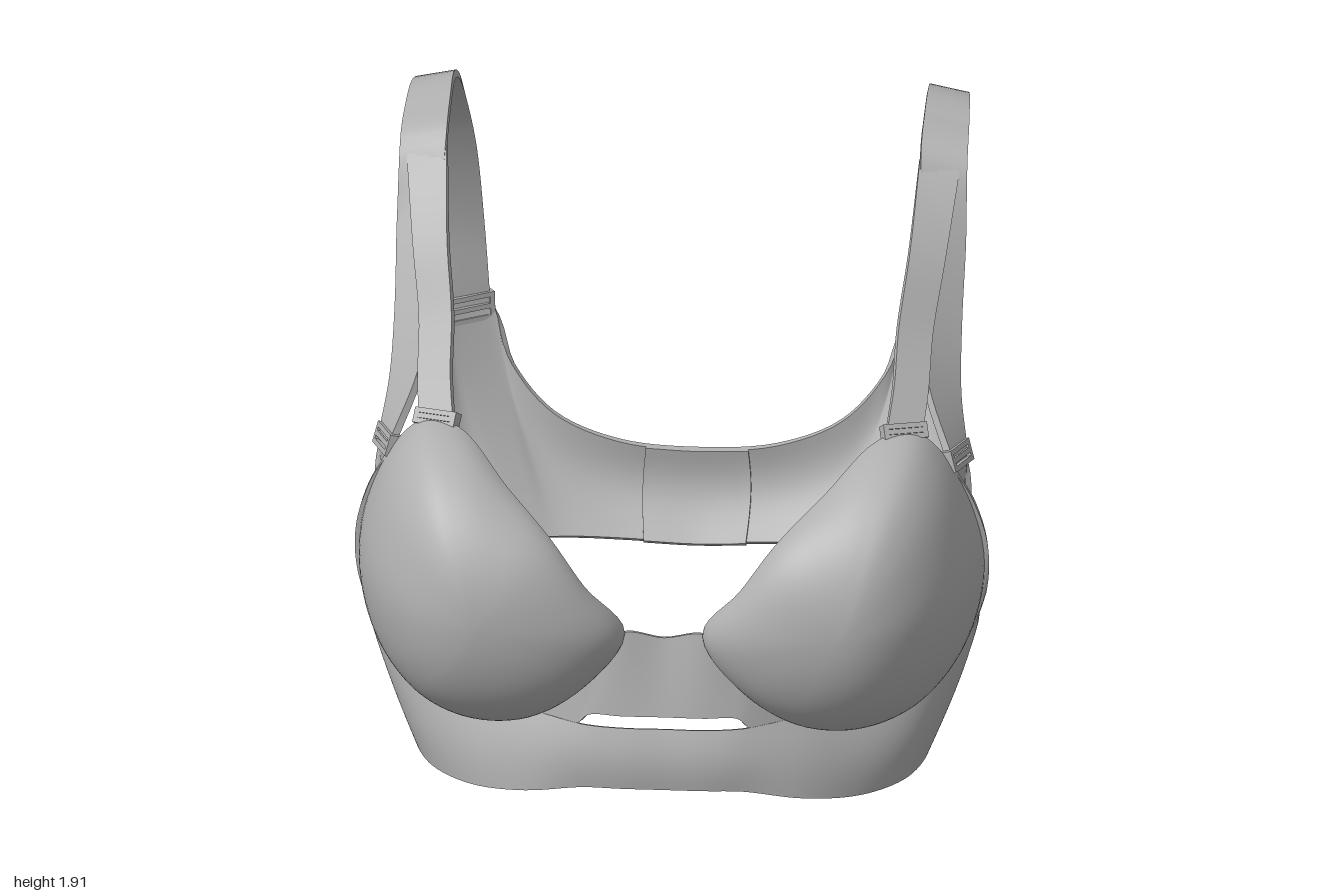
import * as THREE from 'three';

const fabric = new THREE.MeshStandardMaterial({ color: 0xb0b0b0 });
fabric.name = 'grey fabric';

const V = (p) => new THREE.Vector3(...p);
const flip = (pts, s) => pts.map(([x, y, z]) => [x * s, y, z]);
const curve = (pts, closed = false) => new THREE.CatmullRomCurve3(pts.map(V), closed);
// Half outline from the middle of the front, completed by its mirror image
const mirrorOpen = (h) => [...flip(h.slice(1).reverse(), -1), ...h];
const mirrorLoop = (h) => [...h, ...flip(h.slice(1, -1).reverse(), -1)];

// Cloth of even thickness around the surface fn(u, v), with its edges closed
function sheet(name, fn, nu, nv, thick, closed = false) {
  const cols = closed ? nu : nu + 1;
  const id = (i, j) => (i % cols) * (nv + 1) + j;
  const mid = [], tris = [];
  for (let i = 0; i < cols; i++)
    for (let j = 0; j <= nv; j++) mid.push(...fn(i / nu, j / nv).toArray());
  for (let i = 0; i < nu; i++)
    for (let j = 0; j < nv; j++) {
      const a = id(i, j), b = id(i + 1, j), c = id(i + 1, j + 1), d = id(i, j + 1);
      tris.push(a, b, c, a, c, d);
    }
  const base = new THREE.BufferGeometry();
  base.setAttribute('position', new THREE.Float32BufferAttribute(mid, 3));
  base.setIndex(tris);
  base.computeVertexNormals();
  const n = base.attributes.normal.array;
  const pos = [], count = mid.length / 3;
  for (const s of [0.5, -0.5]) mid.forEach((m, k) => pos.push(m + n[k] * thick * s));
  const index = [...tris];
  for (let k = 0; k < tris.length; k += 3)
    index.push(tris[k] + count, tris[k + 2] + count, tris[k + 1] + count);
  // Edge strips have their own corners so that they stay crisp
  const edge = (p, q) => {
    const s = pos.length / 3;
    for (const k of [p, q, q + count, p + count]) pos.push(...pos.slice(k * 3, k * 3 + 3));
    index.push(s, s + 2, s + 1, s, s + 3, s + 2);
  };
  for (let i = 0; i < nu; i++) {
    edge(id(i, 0), id(i + 1, 0));
    edge(id(i + 1, nv), id(i, nv));
  }
  if (!closed) for (let j = 0; j < nv; j++) {
    edge(id(0, j + 1), id(0, j));
    edge(id(nu, j), id(nu, j + 1));
  }
  const geo = new THREE.BufferGeometry();
  geo.setAttribute('position', new THREE.Float32BufferAttribute(pos, 3));
  geo.setIndex(index);
  geo.computeVertexNormals();
  const mesh = new THREE.Mesh(geo, fabric);
  mesh.name = name;
  return mesh;
}

// Cloth stretched between two edge curves, bulging away from the body
function between(name, low, high, nu, nv, thick, bulge = () => 0, closed = false) {
  const a = curve(low, closed), b = curve(high, closed);
  return sheet(name, (u, v) => {
    const p = a.getPoint(u).lerp(b.getPoint(u), v);
    const out = new THREE.Vector3(p.x, 0, p.z).normalize();
    return p.addScaledVector(out, bulge(p) * Math.sin(Math.PI * v));
  }, nu, nv, thick, closed);
}

// Rectangular ring with a middle bar, laid across a strap from a to b
function buckle(name, a, b, along, height) {
  const across = V(b).sub(V(a)), w = across.length() / 2 + 0.012, h = height / 2;
  const rect = (path, x, y0, y1) => path.moveTo(-x, y0).lineTo(x, y0).lineTo(x, y1).lineTo(-x, y1).closePath();
  const shape = rect(new THREE.Shape(), w, -h, h);
  const t = 0.016, bar = 0.008;
  for (const [y0, y1] of [[-h + t, -bar], [bar, h - t]])
    shape.holes.push(rect(new THREE.Path(), w - t, y0, y1));
  const geo = new THREE.ExtrudeGeometry(shape, { depth: 0.04, bevelEnabled: false });
  geo.translate(0, 0, -0.02);
  const x = across.normalize();
  const z = x.clone().cross(V(along)).normalize();
  const y = z.clone().cross(x);
  const mesh = new THREE.Mesh(geo, fabric);
  mesh.applyMatrix4(new THREE.Matrix4().makeBasis(x, y, z));
  mesh.position.copy(V(a).add(V(b)).multiplyScalar(0.5));
  mesh.name = name;
  return mesh;
}

// Band: lower edge and upper edge, from centre front round the side to centre back
const bandLow = [
  [0, .07, .8], [.13, .07, .8], [.25, .065, .785], [.43, .03, .75], [.6, 0, .65], [.73, 0, .52],
  [.785, .02, .41], [.8, .045, .33], [.805, .06, .29], [.81, .075, .26], [.815, .085, .23],
  [.815, .095, .21], [.815, .11, .17], [.81, .13, .11], [.8, .15, .05], [.79, .17, 0],
  [.78, .22, -.2], [.73, .235, -.41], [.68, .24, -.49], [.62, .245, -.55], [.57, .25, -.585],
  [.52, .25, -.615], [.48, .25, -.635], [.42, .245, -.655], [.34, .24, -.67], [.2, .23, -.685], [0, .22, -.69]];
const bandHigh = [
  [0, .262, .775], [.13, .262, .775], [.25, .265, .76], [.42, .275, .69], [.6, .24, .6], [.76, .275, .5],
  [.88, .37, .385], [.955, .5, .34], [.988, .72, .36], [.945, .9, .385], [.88, 1.03, .4],
  [.91, 1.02, .31], [.925, .86, .31], [.915, .72, .26], [.895, .62, .15], [.88, .58, 0],
  [.88, .56, -.2], [.855, .55, -.42], [.83, .59, -.56], [.81, .68, -.68], [.79, .8, -.785],
  [.78, .93, -.85], [.66, .93, -.915], [.58, .74, -.86], [.45, .6, -.815], [.25, .52, -.795], [0, .5, -.79]];
const bandBulge = (p) => 0.015 + 0.03 * THREE.MathUtils.smoothstep(-p.z, 0.2, 0.7);

// Centre panel between the cups; the slit lies between it and the band
const goreLow = [[0, .303, .772], [.13, .303, .772], [.23, .3, .76], [.27, .265, .752], [.42, .262, .69]];
const goreHigh = [[0, .55, .715], [.13, .57, .73], [.2, .47, .735], [.27, .39, .735], [.42, .28, .685]];

// Rim of the left cup
const cupRim = [
  [.13, .57, .735], [.25, .75, .8], [.36, .9, .77], [.5, 1.02, .66], [.66, 1.13, .47], [.77, 1.13, .42],
  [.86, 1.04, .41], [.94, .85, .385], [.968, .68, .36], [.945, .5, .34], [.88, .37, .385],
  [.76, .275, .5], [.6, .237, .6], [.42, .275, .69], [.25, .4, .745]];

// Straps: edge nearer the neck and edge nearer the arm
const strapIn = [
  [.66, .93, -.915], [.68, 1.2, -.94], [.7, 1.47, -.9], [.725, 1.68, -.81], [.735, 1.82, -.66], [.74, 1.89, -.5],
  [.74, 1.88, -.34], [.74, 1.84, -.19], [.745, 1.66, -.05], [.75, 1.45, .11], [.79, 1.24, .29], [.87, 1.05, .41]];
const strapOut = [
  [.78, .93, -.85], [.8, 1.2, -.89], [.82, 1.45, -.86], [.845, 1.66, -.78], [.855, 1.8, -.65], [.87, 1.865, -.49],
  [.88, 1.855, -.33], [.885, 1.81, -.19], [.885, 1.58, -.08], [.88, 1.36, .06], [.885, 1.18, .2], [.91, 1.03, .3]];
const frontIn = [[.738, 1.81, -.16], [.72, 1.59, .06], [.695, 1.4, .21], [.69, 1.26, .345], [.675, 1.15, .45]];
const frontOut = [[.865, 1.79, -.17], [.83, 1.56, .03], [.8, 1.37, .17], [.795, 1.23, .31], [.785, 1.14, .4]];

export function createModel() {
  const model = new THREE.Group();
  model.name = 'bra';

  model.add(between('band', mirrorLoop(bandLow), mirrorLoop(bandHigh), 312, 14, 0.02, bandBulge, true));
  model.add(between('centrePanel', mirrorOpen(goreLow), mirrorOpen(goreHigh), 48, 8, 0.018));

  // Hook closure lining the middle of the back
  model.add(between('backClosure',
    [[-.16, .228, -.675], [0, .22, -.68], [.16, .228, -.675]],
    [[-.16, .505, -.782], [0, .5, -.78], [.16, .505, -.782]], 8, 8, 0.02, bandBulge));

  for (const s of [1, -1]) {
    const side = new THREE.Group();
    side.name = s > 0 ? 'leftSide' : 'rightSide';

    // Cup: quarter-ellipse arcs from its foremost point out to the rim
    const rim = curve(flip(cupRim, s), true);
    const peak = new THREE.Vector3(0.57 * s, 0.66, 0.937);
    side.add(sheet('cup', (u, v) => {
      const r = rim.getPoint(u), a = v * Math.PI / 2;
      const p = peak.clone().lerp(r, Math.sin(a));
      p.z = peak.z + (r.z - peak.z) * (1 - Math.cos(a));
      return p;
    }, 90, 24, 0.018, true));

    side.add(between('shoulderStrap', flip(strapIn, s), flip(strapOut, s), 66, 2, 0.024));
    side.add(between('frontStrap', flip(frontIn, s), flip(frontOut, s), 28, 2, 0.02));

    const ends = (a, b) => flip([a, b], s);
    side.add(buckle('backBuckle', ...ends([.66, .92, -.915], [.78, .92, -.845]), [0, 1, -.08], 0.09));
    side.add(buckle('cupBuckle', ...ends([.675, 1.15, .45], [.785, 1.14, .4]), [0, .8, -.6], 0.05));
    side.add(buckle('sideBuckle', ...ends([.87, 1.04, .41], [.91, 1.03, .3]), [-.2 * s, .9, -.3], 0.07));
    model.add(side);
  }
  return model;
}
